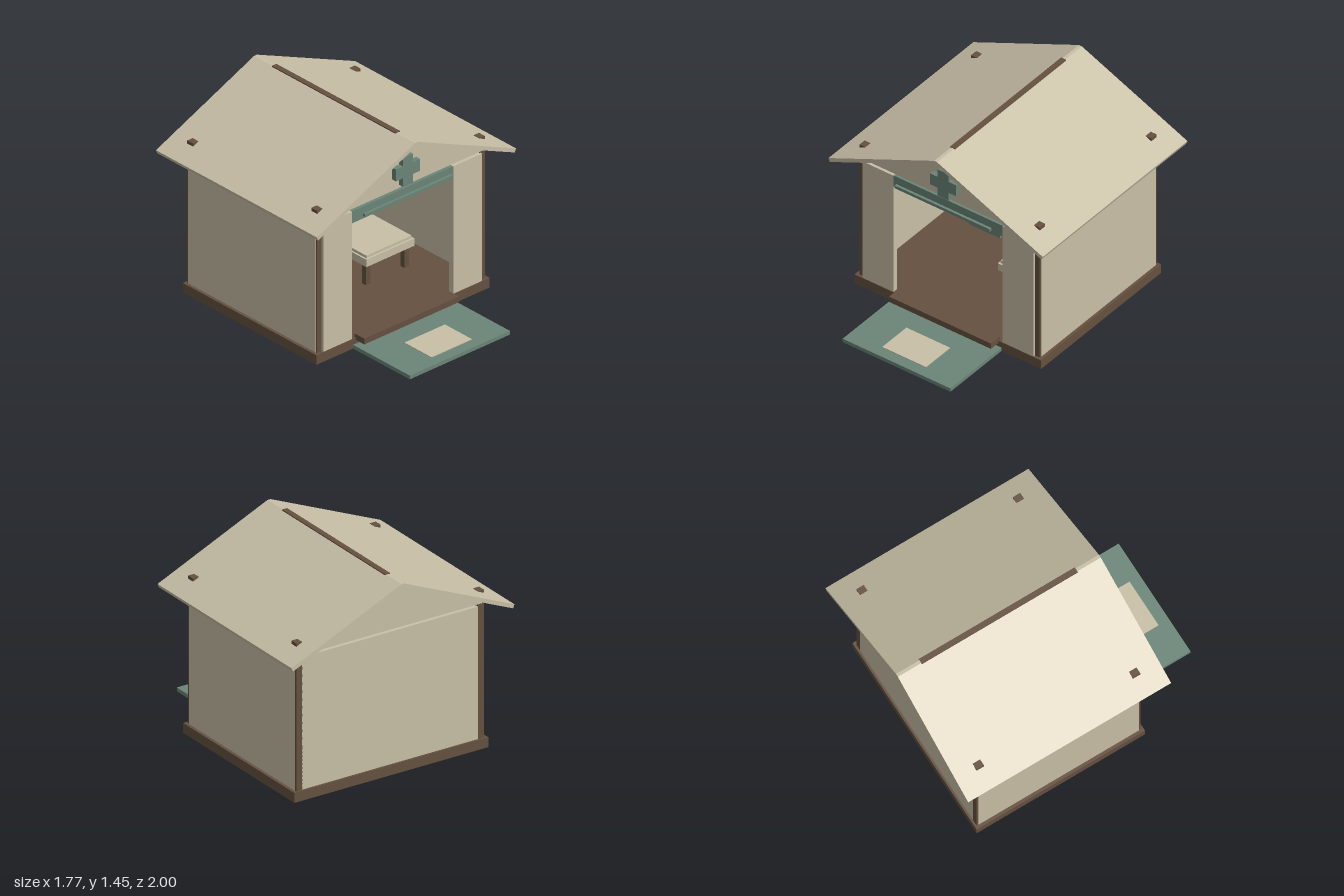
import * as THREE from 'three';

const material = (name, color) => {
  const m = new THREE.MeshStandardMaterial({ color });
  m.name = name;
  return m;
};

export function createModel() {
  const tan = material('tan', 0xc8bfa6);
  const teal = material('teal', 0x6b8577);
  const brown = material('brown', 0x65513f);
  const root = new THREE.Group();
  root.name = 'clinicHut';

  // Box given by its limits on each axis
  const box = (name, mat, [x0, x1], [y0, y1], [z0, z1], parent = root) => {
    const mesh = new THREE.Mesh(new THREE.BoxGeometry(x1 - x0, y1 - y0, z1 - z0), mat);
    mesh.position.set((x0 + x1) / 2, (y0 + y1) / 2, (z0 + z1) / 2);
    mesh.name = name;
    parent.add(mesh);
    return mesh;
  };

  // Outline in the xy plane, extruded from z0 to z1
  const prism = (name, mat, points, z0, z1) => {
    const shape = new THREE.Shape(points.map(([x, y]) => new THREE.Vector2(x, y)));
    const geo = new THREE.ExtrudeGeometry(shape, { depth: z1 - z0, bevelEnabled: false });
    const mesh = new THREE.Mesh(geo, mat);
    mesh.position.z = z0;
    mesh.name = name;
    root.add(mesh);
  };

  const group = (name) => {
    const g = new THREE.Group();
    g.name = name;
    root.add(g);
    return g;
  };

  // Foundation, step and welcome mat
  box('foundation', brown, [-0.77, 0.77], [0, 0.072], [-0.863, 0.444]);
  box('step', brown, [-0.42, 0.42], [0.056, 0.1], [0.43, 0.527]);
  box('mat', teal, [-0.445, 0.445], [0, 0.028], [0.444, 1]);
  box('matPatch', tan, [-0.18, 0.18], [0.028, 0.033], [0.655, 0.918]);

  // Walls, corner posts and front panels
  box('backWall', tan, [-0.7, 0.7], [0.072, 1.035], [-0.848, -0.815]);
  for (const s of [-1, 1]) {
    const span = (a, b) => (s > 0 ? [a, b] : [-b, -a]);
    box('sideWall', tan, span(0.712, 0.748), [0.072, 1.09], [-0.835, 0.41]);
    box('frontPanel', tan, span(0.45, 0.705), [0.072, 1.035], [0.4, 0.44]);
    for (const z of [-0.848, 0.366]) {
      box('cornerPost', brown, span(0.697, 0.745), [0.072, 1.146], [z, z + 0.057]);
    }
  }

  // Lintel and the rail hung before it
  box('lintel', teal, [-0.45, 0.45], [0.945, 1.035], [0.4, 0.438]);
  box('lintelRail', teal, [-0.392, 0.392], [0.998, 1.02], [0.485, 0.505]);

  // Gables with rafters just inside them
  const gable = [[-0.73, 1.055], [0.73, 1.055], [0, 1.418]];
  prism('frontGable', tan, gable, 0.4, 0.44);
  prism('backGable', tan, gable, -0.855, -0.815);
  const rafters = [[-0.74, 1.055], [-0.69, 1.055], [0, 1.38], [0.69, 1.055],
    [0.74, 1.055], [0.74, 1.1], [0, 1.42], [-0.74, 1.1]];
  prism('frontRafters', brown, rafters, 0.36, 0.399);
  prism('backRafters', brown, rafters, -0.814, -0.775);

  // Roof with its ridge beam
  prism('roof', tan, [[-0.885, 1.062], [-0.874, 1.035], [0, 1.416],
    [0.874, 1.035], [0.885, 1.062], [0.012, 1.443], [-0.012, 1.443]], -1, 0.575);
  box('ridgeBeam', brown, [-0.02, 0.02], [1.4, 1.447], [-0.818, 0.392]);

  // Cross on the front gable
  prism('gableCross', teal, [[-0.045, 1.09], [0.045, 1.09], [0.045, 1.155], [0.107, 1.155],
    [0.107, 1.245], [0.045, 1.245], [0.045, 1.307], [-0.045, 1.307], [-0.045, 1.245],
    [-0.107, 1.245], [-0.107, 1.155], [-0.045, 1.155]], 0.455, 0.493);

  // Cabinet
  const cabinet = group('cabinet');
  box('cabinetBody', teal, [-0.505, -0.242], [0.072, 0.295], [-0.65, -0.445], cabinet);
  box('cabinetTop', teal, [-0.517, -0.232], [0.295, 0.33], [-0.665, -0.425], cabinet);
  box('cabinetDrawer', brown, [-0.46, -0.292], [0.253, 0.29], [-0.446, -0.425], cabinet);

  // Bed
  const bed = group('bed');
  box('bedFrame', tan, [0.077, 0.505], [0.23, 0.286], [-0.6, 0], bed);
  box('bedMattress', tan, [0.09, 0.492], [0.286, 0.306], [-0.585, -0.015], bed);
  for (const x of [0.1, 0.442]) {
    for (const z of [-0.57, -0.07]) {
      box('bedLeg', brown, [x, x + 0.04], [0.072, 0.23], [z, z + 0.04], bed);
    }
  }

  return root;
}
